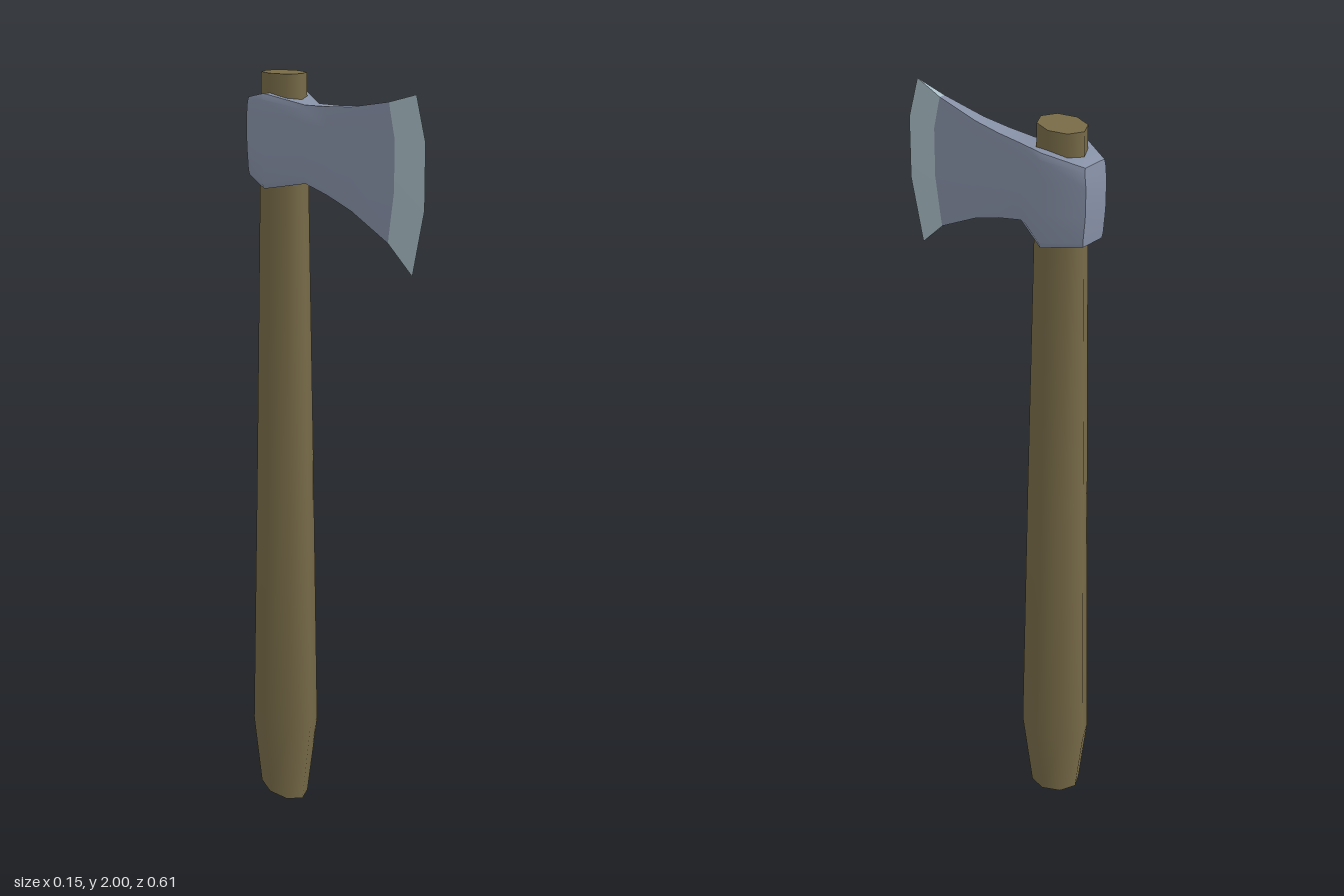
import * as THREE from 'three';
import { toCreasedNormals } from 'three/addons/utils/BufferGeometryUtils.js';

// Skin a list of closed rings (equal point counts) and cap both ends.
function loft(rings, crease) {
  const n = rings[0].length, index = [];
  for (let i = 0; i < rings.length - 1; i++) {
    for (let j = 0; j < n; j++) {
      const a = i * n + j, b = i * n + (j + 1) % n;
      index.push(a, a + n, b, b, a + n, b + n);
    }
  }
  const last = (rings.length - 1) * n;
  for (let j = 0; j < n / 2 - 1; j++) {
    const p = j, q = j + 1, r = n - 2 - j, s = n - 1 - j;
    index.push(p, q, r, p, r, s);
    index.push(last + p, last + r, last + q, last + p, last + s, last + r);
  }
  const geo = new THREE.BufferGeometry();
  geo.setAttribute('position', new THREE.Float32BufferAttribute(rings.flat(2), 3));
  geo.setIndex(index);
  return toCreasedNormals(geo, crease);
}

// Eight-sided oval ring for the haft; tilt raises its back.
function haftRing([y, z, rx, rz, tilt]) {
  return Array.from({ length: 8 }, (_, k) => {
    const a = k * Math.PI / 4;
    return [Math.cos(a) * rx, y - Math.sin(a) * tilt, z + Math.sin(a) * rz];
  });
}

// Upright head section: down the +x side, then up the mirrored side.
const ROWS = [0, 0.06, 0.25, 0.62, 0.94, 1];
function headRing([zTop, zMid, zBottom, w, yTop, yBottom]) {
  const side = ROWS.map((t) => {
    let z = zMid;
    if (t < 0.25) z = THREE.MathUtils.lerp(zTop, zMid, t / 0.25);
    if (t > 0.62) z = THREE.MathUtils.lerp(zMid, zBottom, (t - 0.62) / 0.38);
    const inset = t === 0 || t === 1 ? 0.92 : 1;
    return [w * inset, THREE.MathUtils.lerp(yTop, yBottom, t), z];
  });
  return [...side, ...side.map(([x, y, z]) => [-x, y, z]).reverse()];
}

export function createModel() {
  const wood = new THREE.MeshStandardMaterial({ name: 'wood', color: 0x786b48 });
  const steel = new THREE.MeshStandardMaterial({ name: 'steel', color: 0x8892a8 });
  const honed = new THREE.MeshStandardMaterial({ name: 'honedSteel', color: 0xabc0c8 });
  const group = new THREE.Group();
  group.name = 'axe';
  const add = (name, geo, material) => {
    const mesh = new THREE.Mesh(geo, material);
    mesh.name = name;
    group.add(mesh);
  };

  // Haft: y, centre z, half width, half depth, tilt
  add('haft', loft([
    [0.015, -0.208, 0.056, 0.073, 0.015],
    [0.225, -0.202, 0.076, 0.101, -0.006],
    [1.0, -0.194, 0.064, 0.086, 0],
    [2.0, -0.187, 0.05, 0.065, 0],
  ].map(haftRing), 1.1), wood);

  // Head: z at top, middle and bottom, half width, top y, bottom y
  const bevel = [0.19, 0.21, 0.19, 0.009, 1.957, 1.617];
  add('axeHead', loft([
    [-0.285, -0.291, -0.285, 0.036, 1.933, 1.735],
    [-0.187, -0.187, -0.187, 0.077, 1.952, 1.714],
    [-0.085, -0.085, -0.085, 0.026, 1.928, 1.733],
    [-0.01, -0.01, -0.01, 0.022, 1.93, 1.712],
    [0.07, 0.07, 0.07, 0.017, 1.936, 1.682],
    bevel,
  ].map(headRing), 0.95), steel);

  // Sharpened edge continuing the blade to zero thickness
  add('cuttingEdge', loft([
    bevel,
    [0.272, 0.303, 0.265, 0, 1.98, 1.545],
  ].map(headRing), 0.95), honed);

  return group;
}
